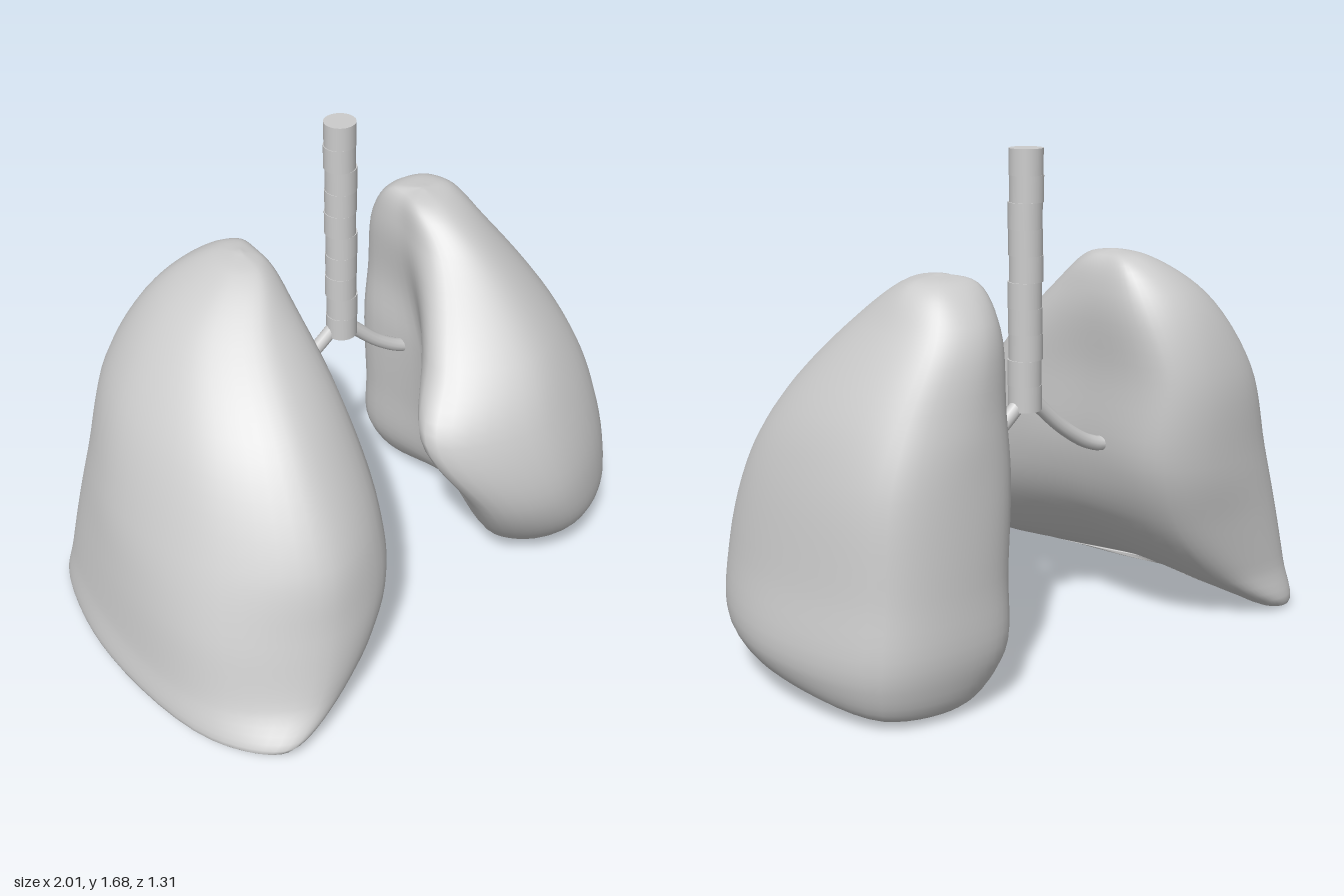
import * as THREE from 'three';
import { mergeVertices } from 'three/addons/utils/BufferGeometryUtils.js';

const material = new THREE.MeshStandardMaterial({ color: 0xcccccc });
const V = (x, y, z) => new THREE.Vector3(x, y, z);

// Cross-sections from top to bottom: height, then 8 (x, z) points in the order
// medial, back-medial, back, back-lateral, lateral, front-lateral, front, front-medial.
const rightSections = [
  [1.33, [-.21, -.31, -.22, -.39, -.28, -.42, -.35, -.39, -.38, -.3, -.36, -.22, -.28, -.17, -.22, -.23]],
  [1.2, [-.17, -.28, -.2, -.48, -.34, -.56, -.51, -.5, -.58, -.32, -.53, -.11, -.36, .02, -.2, -.07]],
  [0.95, [-.18, -.22, -.23, -.57, -.39, -.645, -.66, -.57, -.78, -.25, -.68, .12, -.42, .31, -.16, .14]],
  [0.65, [-.19, -.2, -.23, -.55, -.41, -.645, -.74, -.58, -.89, -.2, -.79, .27, -.46, .52, -.155, .34]],
  [0.42, [-.27, -.1, -.33, -.53, -.52, -.62, -.81, -.58, -.94, -.16, -.84, .36, -.5, .575, -.195, .44]],
  [0.2, [-.5, -.06, -.54, -.54, -.69, -.61, -.87, -.58, -.975, -.15, -.87, .42, -.58, .62, -.35, .5]],
  [0.06, [-.8, -.05, -.79, -.57, -.84, -.61, -.91, -.58, -1, -.15, -.9, .46, -.72, .65, -.6, .55]],
];
const leftSections = [
  [1.33, [.39, -.31, .39, -.39, .46, -.42, .55, -.4, .59, -.31, .55, -.23, .46, -.17, .39, -.22]],
  [1.2, [.36, -.27, .37, -.47, .48, -.53, .62, -.48, .69, -.32, .65, -.11, .5, .02, .36, -.07]],
  [0.95, [.37, -.2, .38, -.51, .54, -.57, .75, -.5, .85, -.25, .78, .1, .49, .31, .2, .16]],
  [0.75, [.36, -.1, .37, -.52, .56, -.58, .82, -.51, .92, -.15, .83, .23, .46, .43, .08, .28]],
  [0.45, [.4, -.1, .38, -.52, .57, -.59, .85, -.52, .97, -.1, .88, .3, .54, .49, .25, .38]],
  [0.2, [.45, -.1, .4, -.53, .58, -.59, .87, -.52, 1, -.08, .9, .28, .64, .42, .4, .3]],
  [0.04, [.55, -.1, .48, -.46, .58, -.52, .83, -.47, .93, -.1, .82, .16, .61, .24, .5, .15]],
];

// Smooth loft through the sections, closed by an apex and a base.
// rimLift(z) shapes the lowest rim; hollow lifts the inside of the base.
function lungGeometry(sections, apex, rimLift, hollow, flip) {
  const COLS = 56, ROWS = 60;
  const loops = sections.map(([y, p], s) => {
    const pts = [];
    const isRim = s === sections.length - 1;
    for (let i = 0; i < p.length; i += 2) {
      pts.push(V(p[i], y + (isRim ? rimLift(p[i + 1]) : 0), p[i + 1]));
    }
    const curve = new THREE.CatmullRomCurve3(pts, true);
    return Array.from({ length: COLS }, (_, j) => curve.getPoint(j / COLS));
  });
  const rim = loops[loops.length - 1];
  const centre = rim.reduce((s, p) => s.add(p), V(0, 0, 0)).divideScalar(COLS);
  const inner = (k, lift) => rim.map(p => p.clone().lerp(centre, k).add(V(0, lift, 0)));
  loops.unshift(Array(COLS).fill(apex));
  loops.push(inner(0.3, hollow * 0.3), inner(0.65, hollow * 0.8), inner(1, hollow));

  const pos = [], idx = [];
  const columns = rim.map((_, j) => new THREE.CatmullRomCurve3(loops.map(l => l[j])));
  for (let i = 0; i <= ROWS; i++) {
    for (const c of columns) pos.push(...c.getPoint(i / ROWS).toArray());
  }
  for (let i = 0; i < ROWS; i++) {
    for (let j = 0; j < COLS; j++) {
      const a = i * COLS + j, b = i * COLS + (j + 1) % COLS, c = a + COLS, d = b + COLS;
      if (flip) idx.push(a, b, c, b, d, c);
      else idx.push(a, c, b, b, c, d);
    }
  }
  let geo = new THREE.BufferGeometry();
  geo.setAttribute('position', new THREE.Float32BufferAttribute(pos, 3));
  geo.setIndex(idx);
  geo = mergeVertices(geo, 1e-5);
  geo.computeVertexNormals();
  return geo;
}

export function createModel() {
  const model = new THREE.Group();
  const add = (name, geo, parent = model) => {
    const mesh = new THREE.Mesh(geo, material);
    mesh.name = name;
    parent.add(mesh);
    return mesh;
  };

  // Lungs: the right one tapers to a slanting lower edge, the left one has an arched base
  const slant = z => 0.035 * z;
  const arch = z => 0.055 * Math.max(0, 1 - ((z + 0.15) / 0.4) ** 2);
  add('rightLung', lungGeometry(rightSections, V(-.28, 1.355, -.29), slant, -0.025, false));
  add('leftLung', lungGeometry(leftSections, V(.46, 1.355, -.29), arch, 0.08, true));

  // Windpipe: stacked, slightly offset rings
  const windpipe = new THREE.Group();
  windpipe.name = 'windpipe';
  model.add(windpipe);
  const rings = 10, bottom = 0.87, step = (1.71 - bottom) / rings;
  for (let i = 0; i < rings; i++) {
    const ring = add('windpipeRing', new THREE.CylinderGeometry(0.055, 0.055, step, 24), windpipe);
    ring.position.set(0.119 + 0.003 * Math.sin(i * 2.1), bottom + (i + 0.5) * step, -0.295);
  }

  // Bronchi branching into each lung, curling up at the ends
  const bronchus = (name, pts) =>
    add(name, new THREE.TubeGeometry(new THREE.CatmullRomCurve3(pts), 32, 0.025, 12));
  bronchus('rightBronchus', [V(.11, .92, -.3), V(.05, .86, -.305), V(-.04, .78, -.315),
    V(-.14, .72, -.325), V(-.2, .71, -.335), V(-.22, .76, -.34)]);
  bronchus('leftBronchus', [V(.12, .92, -.3), V(.18, .86, -.295), V(.27, .78, -.285),
    V(.37, .725, -.275), V(.48, .71, -.265), V(.5, .76, -.26)]);

  return model;
}
